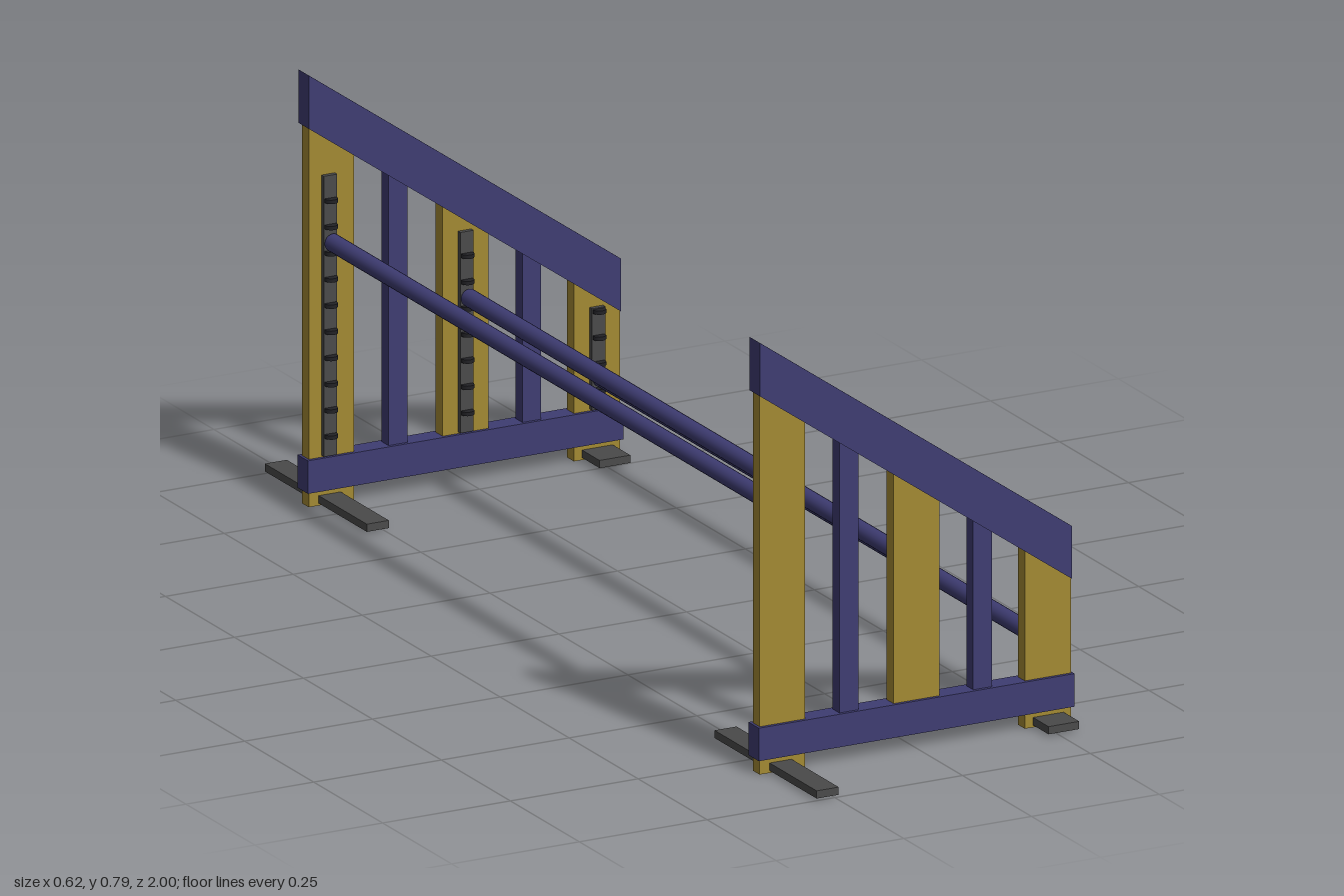
import * as THREE from 'three';

const blue = new THREE.MeshStandardMaterial({ color: 0x3e3c72 });
const ochre = new THREE.MeshStandardMaterial({ color: 0xa38933 });
const dark = new THREE.MeshStandardMaterial({ color: 0x4a4a4a });
const black = new THREE.MeshStandardMaterial({ color: 0x222226 });

const FRAME_Z = 0.817;
// underside height of the sloping top rail at x
const railBottom = (x) => 0.69 + ((x + 0.308) / 0.611) * (0.26 - 0.69);

function add(parent, name, geometry, material, x = 0, y = 0, z = 0) {
  const mesh = new THREE.Mesh(geometry, material);
  mesh.name = name;
  mesh.position.set(x, y, z);
  parent.add(mesh);
  return mesh;
}

// flat board cut from a front outline, centred in depth
function board(points, depth) {
  const shape = new THREE.Shape(points.map(([x, y]) => new THREE.Vector2(x, y)));
  return new THREE.ExtrudeGeometry(shape, { depth, bevelEnabled: false }).translate(0, 0, -depth / 2);
}

// upright whose top is cut to the slope, tucked slightly into the rail
function upright(x0, x1, y0, depth) {
  return board([[x0, y0], [x1, y0], [x1, railBottom(x1) + 0.02], [x0, railBottom(x0) + 0.02]], depth);
}

// one side wing; s is +1 for the front wing, -1 for the back wing
function createWing(s) {
  const wing = new THREE.Group();
  wing.name = s > 0 ? 'frontWing' : 'backWing';
  const z = s * FRAME_Z;

  // rails
  add(wing, 'topRail', board([[-0.308, 0.69], [0.303, 0.26], [0.303, 0.356], [-0.308, 0.787]], 0.038), blue, 0, 0, z);
  add(wing, 'bottomRail', new THREE.BoxGeometry(0.618, 0.06, 0.038), blue, -0.001, 0.057, z);

  // wide posts and narrow slats
  const posts = [[-0.305, -0.216, 0], [-0.043, 0.047, 0.03], [0.214, 0.304, 0]];
  for (const [x0, x1, y0] of posts) add(wing, 'post', upright(x0, x1, y0, 0.025), ochre, 0, 0, z);
  for (const [x0, x1] of [[-0.149, -0.112], [0.113, 0.15]]) {
    add(wing, 'slat', upright(x0, x1, 0.05, 0.025), blue, 0, 0, z);
  }

  // feet
  add(wing, 'longFoot', new THREE.BoxGeometry(0.043, 0.014, 0.37), dark, -0.264, 0.011, s * 0.815);
  add(wing, 'shortFoot', new THREE.BoxGeometry(0.06, 0.014, 0.145), dark, 0.26, 0.011, s * 0.8135);

  // pole holder strips with rows of pegs on the inner face
  for (const [x, top, count] of [[-0.267, 0.6, 10], [0, 0.455, 7], [0.258, 0.275, 4]]) {
    add(wing, 'holderStrip', new THREE.BoxGeometry(0.026, top - 0.09, 0.01), dark, x, (top + 0.09) / 2, s * 0.801);
    for (let i = 0; i < count; i++) {
      const peg = new THREE.CylinderGeometry(0.012, 0.012, 0.007, 12);
      add(wing, 'holderPeg', peg, black, x, 0.127 + i * 0.0476, s * 0.794);
    }
  }
  return wing;
}

export function createModel() {
  const model = new THREE.Group();
  model.name = 'jumpFence';
  model.add(createWing(1), createWing(-1));

  // crossing poles, stepping down with the slope
  for (const [x, y] of [[-0.267, 0.48], [0, 0.337], [0.258, 0.15]]) {
    const pole = new THREE.CylinderGeometry(0.016, 0.016, 1.576, 20).rotateX(Math.PI / 2);
    add(model, 'pole', pole, blue, x, y, 0);
  }
  return model;
}
